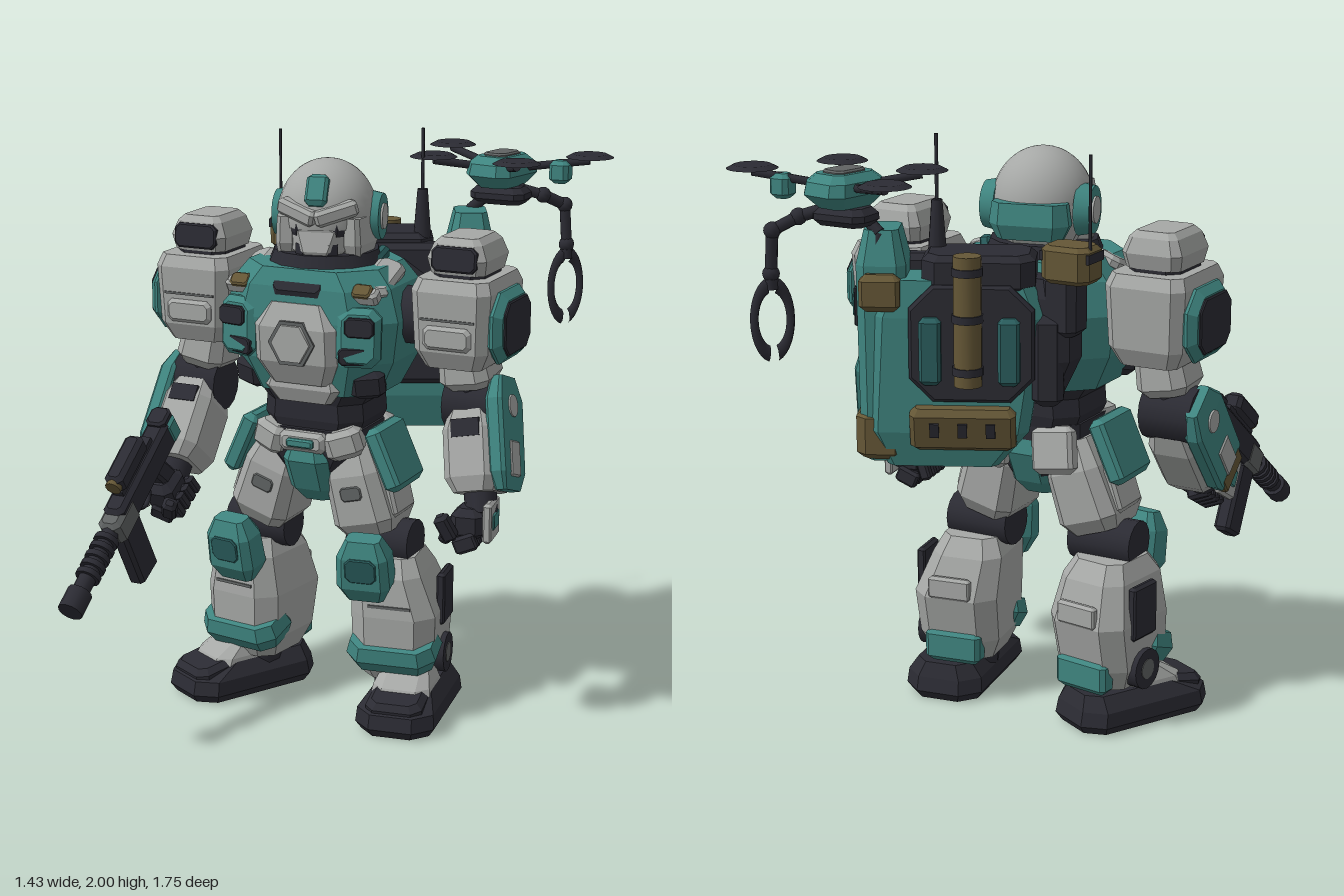
import * as THREE from 'three';

const mat = (name, color) => Object.assign(new THREE.MeshStandardMaterial({ color }), { name });
const grey = mat('armour grey', 0xa6a8a6), shade = mat('seam grey', 0x606363), teal = mat('teal', 0x3f8580),
  deep = mat('deep teal', 0x2a5e5e), black = mat('black', 0x2b2b33), olive = mat('olive', 0x655736);
const V = (a) => new THREE.Vector3(...a);

// Faceted solid from chamfered-rectangle sections [y, width, depth, x, z], listed upward
function loft(sections, chamfer = 0.4) {
  const rings = sections.map(([y, w, d, x = 0, z = 0]) => {
    const a = w / 2, b = d / 2, c = chamfer * Math.min(a, b);
    return [[a, b - c], [a, c - b], [a - c, -b], [c - a, -b], [-a, c - b], [-a, b - c], [c - a, b], [a - c, b]]
      .map(([px, pz]) => [px + x, y, pz + z]);
  });
  const out = [], tri = (...p) => p.forEach((q) => out.push(...q));
  const top = rings[rings.length - 1], bottom = rings[0];
  for (let i = 0; i < 8; i++) {
    const j = (i + 1) % 8;
    for (let k = 0; k < rings.length - 1; k++) {
      const lo = rings[k], hi = rings[k + 1];
      tri(lo[i], lo[j], hi[j]);
      tri(lo[i], hi[j], hi[i]);
    }
    if (i > 0 && i < 7) { tri(top[0], top[i], top[j]); tri(bottom[0], bottom[j], bottom[i]); }
  }
  const g = new THREE.BufferGeometry();
  g.setAttribute('position', new THREE.Float32BufferAttribute(out, 3));
  g.computeVertexNormals();
  return g;
}
const block = (w, h, d, b = 0.02, chamfer = 0.4) => loft([[-h / 2, w - 2 * b, d - 2 * b], [b - h / 2, w, d],
  [h / 2 - b, w, d], [h / 2, w - 2 * b, d - 2 * b]], chamfer);
const cyl = (r, h, n = 16, r2 = r) => new THREE.CylinderGeometry(r2, r, h, n);
const box = (w, h, d) => new THREE.BoxGeometry(w, h, d);

function place(parent, obj, name, p = [0, 0, 0], r = [0, 0, 0]) {
  obj.name = name;
  obj.position.set(...p);
  obj.rotation.set(...r);
  parent.add(obj);
  return obj;
}
const part = (parent, name, m, geo, p, r) => place(parent, new THREE.Mesh(geo, m), name, p, r);
const group = (parent, name, p, r) => place(parent, new THREE.Group(), name, p, r);
// Group whose y axis runs from the low point to the high point
function bone(parent, name, low, high) {
  const g = group(parent, name, low), d = V(high).sub(V(low));
  g.userData.length = d.length();
  g.quaternion.setFromUnitVectors(new THREE.Vector3(0, 1, 0), d.normalize());
  return g;
}
function rod(parent, name, m, a, b, r, n = 10) {
  const g = bone(parent, name, a, b), l = g.userData.length;
  part(g, name, m, cyl(r, l, n), [0, l / 2, 0]);
}
const Q = Math.PI / 2;

function buildTorso(t) {
  part(t, 'waist', black, loft([[0.98, 0.3, 0.28], [1.06, 0.37, 0.32], [1.12, 0.36, 0.32], [1.22, 0.5, 0.38]]), [0, 0, -0.08]);
  part(t, 'chest', teal, loft([[1.16, 0.48, 0.36], [1.28, 0.6, 0.45], [1.42, 0.64, 0.48], [1.53, 0.58, 0.46], [1.59, 0.48, 0.42]], 0.5), [0, 0, -0.08]);
  part(t, 'backFrame', black, loft([[1.15, 0.36, 0.1], [1.3, 0.5, 0.14], [1.5, 0.5, 0.14], [1.56, 0.36, 0.1]]), [0, 0, -0.33]);
  part(t, 'collar', black, cyl(0.2, 0.05, 14, 0.18), [0, 1.605, -0.08]);
  part(t, 'throat', black, block(0.2, 0.05, 0.1, 0.015), [0, 1.54, 0.12], [1.1, 0, 0]);
  part(t, 'breastplate', grey, loft([[1.2, 0.22, 0.1, 0, 0.09], [1.28, 0.3, 0.12, 0, 0.12], [1.4, 0.3, 0.12, 0, 0.13], [1.48, 0.22, 0.1, 0, 0.11]], 0.5));
  part(t, 'chestFrame', shade, cyl(0.085, 0.03, 6), [0, 1.35, 0.18], [Q, Q, 0]);
  part(t, 'chestPlate', grey, cyl(0.077, 0.03, 6, 0.07), [0, 1.35, 0.188], [Q, Q, 0]);
  part(t, 'abdomenPlate', grey, loft([[1.13, 0.2, 0.08], [1.18, 0.28, 0.12], [1.24, 0.24, 0.1]]), [0, 0, 0.07]);
  for (const s of [-1, 1]) {
    part(t, 'axle', black, cyl(0.1, 0.14, 12), [s * 0.33, 1.42, -0.1], [0, 0, Q]);
    part(t, 'collarPlate', grey, block(0.1, 0.05, 0.2, 0.015), [s * 0.235, 1.55, -0.02], [0.35, 0, -s * 0.35]);
    part(t, 'collarStrap', deep, block(0.04, 0.05, 0.26, 0.012), [s * 0.17, 1.575, -0.06], [0.3, 0, -s * 0.2]);
    part(t, 'chestLampFrame', grey, block(0.11, 0.05, 0.05, 0.01), [s * 0.225, 1.515, 0.105], [0.5, 0, 0]);
    part(t, 'chestLamp', olive, block(0.07, 0.03, 0.05, 0.006), [s * 0.225, 1.53, 0.115], [0.8, 0, 0]);
    part(t, 'sidePanel', teal, block(0.15, 0.06, 0.2, 0.02), [s * 0.22, 1.38, 0.13], [Q - 0.05, 0, -s * 0.25]);
    part(t, 'upperVent', black, block(0.1, 0.02, 0.065, 0.004), [s * 0.235, 1.42, 0.162], [Q, 0, -s * 0.15]);
    part(t, 'lowerVent', black, block(0.1, 0.02, 0.06, 0.004), [s * 0.21, 1.32, 0.155], [Q + 0.1, 0, -s * 0.3]);
    part(t, 'lowerRib', black, block(0.12, 0.1, 0.1, 0.02), [s * 0.21, 1.21, 0.04], [0.25, s * 0.4, 0]);
    part(t, 'hipSkirt', teal, block(0.06, 0.23, 0.22, 0.02), [s * 0.27, 0.94, -0.05], [0, 0, s * 0.42]);
    part(t, 'beltPouch', grey, block(0.13, 0.1, 0.12, 0.02), [s * 0.13, 0.99, 0.05], [0, s * 0.3, s * 0.3]);
    part(t, 'rearSkirt', grey, block(0.15, 0.16, 0.06, 0.02), [s * 0.12, 0.95, -0.23], [0.2, 0, s * 0.15]);
  }
  part(t, 'pelvis', black, loft([[0.84, 0.18, 0.26], [0.95, 0.36, 0.32], [1.03, 0.36, 0.32]]), [0, 0, -0.07]);
  part(t, 'crotchGuard', teal, loft([[0.76, 0.1, 0.16], [0.81, 0.16, 0.26], [0.92, 0.17, 0.36], [0.97, 0.13, 0.34]]), [0, 0, -0.06]);
  part(t, 'buckle', grey, block(0.17, 0.05, 0.07, 0.015), [0, 0.99, 0.1], [Q, 0, 0]);
  part(t, 'buckleInlay', teal, block(0.1, 0.02, 0.03, 0.006), [0, 0.99, 0.13], [Q, 0, 0]);
}

function buildHead(t) {
  const h = group(t, 'head', [0, 1.74, -0.09], [0, 0.2, 0]);
  part(h, 'neck', black, cyl(0.1, 0.16, 12), [0, -0.14, 0]);
  part(h, 'dome', grey, new THREE.SphereGeometry(0.168, 28, 14, 0, Math.PI * 2, 0, 1.75).scale(1, 1.1, 1.02), [0, 0.005, 0]);
  part(h, 'helmetBack', grey, loft([[-0.11, 0.24, 0.2], [-0.03, 0.32, 0.28], [0.02, 0.31, 0.28]], 0.6), [0, 0, -0.03]);
  part(h, 'rearBand', teal, loft([[-0.09, 0.22, 0.08], [-0.04, 0.27, 0.12], [0.03, 0.25, 0.1]], 0.7), [0, 0, -0.14]);
  part(h, 'face', black, loft([[-0.13, 0.2, 0.2], [-0.04, 0.26, 0.24], [0.03, 0.26, 0.24]], 0.5), [0, 0, 0.035]);
  part(h, 'mask', grey, loft([[-0.15, 0.1, 0.1], [-0.1, 0.18, 0.14], [-0.035, 0.2, 0.11], [-0.005, 0.05, 0.08, 0, 0.02]], 0.7), [0, 0, 0.105]);
  for (const s of [-1, 1]) {
    part(h, 'mouthVent', black, box(0.035, 0.04, 0.012), [s * 0.055, -0.095, 0.155], [0, s * 0.6, 0]);
    part(h, 'brow', grey, block(0.15, 0.055, 0.05, 0.012), [s * 0.065, 0.03, 0.148], [0.1, s * 0.4, s * 0.25]);
    part(h, 'cheek', grey, loft([[-0.13, 0.05, 0.12], [-0.08, 0.07, 0.16], [0.01, 0.06, 0.16]]), [s * 0.125, 0, 0.06], [0, -s * 0.2, 0]);
    part(h, 'earDisc', teal, cyl(0.088, 0.05, 20, 0.078), [s * 0.16, -0.005, -0.03], [0, 0, -s * Q]);
    part(h, 'earHub', grey, cyl(0.045, 0.02, 16), [s * 0.182, -0.005, -0.03], [0, 0, Q]);
  }
  part(h, 'crest', teal, block(0.075, 0.11, 0.05, 0.015), [0, 0.1, 0.138], [-0.5, 0, 0]);
}

function buildHand(g, s, p, r) {
  const h = group(g, 'hand', p, r);
  part(h, 'palm', black, block(0.11, 0.11, 0.13, 0.025), [0, 0, 0]);
  part(h, 'handGuard', grey, block(0.03, 0.14, 0.13, 0.01), [s * 0.07, 0.01, -0.01]);
  part(h, 'guardInlay', teal, block(0.02, 0.06, 0.08, 0.006), [s * 0.08, 0.01, -0.01]);
  for (let i = 0; i < 4; i++) {
    part(h, 'knuckle', black, block(0.08, 0.06, 0.035, 0.01), [0, -0.06, -0.06 + i * 0.04], [0, 0, s * 0.4]);
    part(h, 'fingertip', black, block(0.04, 0.07, 0.035, 0.01), [-s * 0.065, -0.03, -0.06 + i * 0.04], [0, 0, -s * 0.3]);
  }
  part(h, 'thumb', black, block(0.05, 0.1, 0.045, 0.012), [-s * 0.06, 0, 0.09], [0.3, 0, s * 0.4]);
}

function buildArm(root, s, x, elbow, wrist, hand, handTurn) {
  const g = group(root, s > 0 ? 'leftArm' : 'rightArm');
  const sh = group(g, 'shoulder', [x, 1.43, -0.11]);
  part(sh, 'shoulderArmour', grey, loft([[-0.15, 0.2, 0.28], [-0.09, 0.26, 0.34], [0.11, 0.28, 0.36], [0.15, 0.25, 0.32]], 0.25));
  part(sh, 'shoulderSeam', shade, box(0.19, 0.008, 0.008), [0, 0.02, 0.176]);
  part(sh, 'frontPanel', grey, block(0.17, 0.03, 0.08, 0.012), [0, -0.04, 0.172], [Q, 0, 0]);
  part(sh, 'padBase', black, block(0.18, 0.04, 0.22, 0.01), [0, 0.155, 0]);
  part(sh, 'pad', grey, loft([[0.16, 0.19, 0.22], [0.21, 0.21, 0.25], [0.26, 0.17, 0.22], [0.28, 0.13, 0.18]], 0.25));
  part(sh, 'padWindow', black, block(0.16, 0.03, 0.085, 0.006), [0, 0.213, 0.115], [Q - 0.1, 0, 0]);
  part(sh, 'sidePlate', teal, block(0.24, 0.06, 0.3, 0.025, 0.55), [s * 0.145, -0.01, 0], [0, 0, -s * Q]);
  part(sh, 'sideGrille', black, block(0.18, 0.02, 0.23, 0.004, 0.4), [s * 0.173, -0.01, 0], [0, 0, -s * Q]);
  const up = bone(g, 'upperArm', elbow, [x, 1.32, -0.11]), u = up.userData.length;
  part(up, 'upperArmCore', black, cyl(0.07, u, 10), [0, u / 2, 0]);
  part(up, 'upperArmArmour', grey, loft([[0.07, 0.14, 0.15], [0.1, 0.18, 0.2], [u, 0.16, 0.18]]));
  part(g, 'elbow', black, cyl(0.095, 0.18, 14), elbow, [0, 0, Q]);
  const f = bone(g, 'forearm', wrist, elbow), l = f.userData.length;
  part(f, 'wrist', black, cyl(0.055, 0.1, 10), [0, -0.02, 0]);
  part(f, 'forearmArmour', grey, loft([[0, 0.14, 0.18], [0.05, 0.19, 0.22], [l * 0.7, 0.19, 0.22], [l, 0.13, 0.16]], 0.35));
  part(f, 'outerPlate', teal, loft([[0, 0.04, 0.14], [0.06, 0.06, 0.2], [l, 0.06, 0.21], [l + 0.08, 0.04, 0.13]]), [s * 0.1, 0, 0]);
  part(f, 'plateInlay', grey, block(0.02, l * 0.4, 0.08, 0.006), [s * 0.125, l * 0.35, 0]);
  part(f, 'elbowDisc', grey, cyl(0.038, 0.03, 14), [s * 0.12, l - 0.02, 0], [0, 0, Q]);
  part(f, 'forearmVent', black, box(0.1, 0.06, 0.012), [0, l * 0.7, 0.108]);
  if (s < 0) part(f, 'wristStrap', olive, block(0.03, 0.07, 0.15, 0.008), [-0.115, 0.03, 0]);
  buildHand(g, s, hand, handTurn);
}

function buildLeg(t, s, footTurn, kneeShift) {
  const g = group(t, s > 0 ? 'leftLeg' : 'rightLeg');
  const th = bone(g, 'thigh', [s * 0.24 + kneeShift / 2, 0.62, -0.07], [s * 0.12, 0.98, -0.07]);
  part(th, 'thighArmour', grey, loft([[0.04, 0.17, 0.2], [0.09, 0.22, 0.27], [0.26, 0.2, 0.28], [0.36, 0.15, 0.22]], 0.35));
  part(th, 'thighPanel', shade, block(0.08, 0.012, 0.05, 0.004), [0, 0.2, 0.137], [Q, 0, 0]);
  part(th, 'thighPlate', grey, block(0.05, 0.17, 0.16, 0.015), [s * 0.1, 0.17, 0]);
  part(g, 'knee', black, cyl(0.08, 0.23, 16), [s * 0.25 + kneeShift / 2, 0.62, -0.09], [0, 0, Q]);
  const sh = group(g, 'shin', [s * 0.275, 0, -0.11], [0, s * 0.15, 0]);
  part(sh, 'shinArmour', grey, loft([[0.14, 0.22, 0.24], [0.22, 0.29, 0.33], [0.38, 0.3, 0.37, 0, -0.015], [0.52, 0.25, 0.31, kneeShift / 2], [0.58, 0.19, 0.22, kneeShift / 2]], 0.4));
  part(sh, 'kneePad', teal, loft([[-0.11, 0.13, 0.07], [-0.05, 0.19, 0.13], [0.06, 0.18, 0.12], [0.12, 0.12, 0.07]]), [kneeShift - s * 0.02, 0.56, 0.18], [0.2, 0, 0]);
  part(sh, 'kneePanel', deep, block(0.11, 0.012, 0.09, 0.004), [kneeShift - s * 0.02, 0.57, 0.245], [Q + 0.2, 0, 0]);
  part(sh, 'shinSeam', shade, box(0.15, 0.01, 0.012), [0, 0.42, 0.165]);
  part(sh, 'calfVent', black, block(0.03, 0.19, 0.13, 0.01), [s * 0.148, 0.42, -0.03]);
  part(sh, 'calfPanel', grey, block(0.15, 0.08, 0.03, 0.01), [0, 0.42, -0.195]);
  part(sh, 'ankleCuff', teal, loft([[-0.05, 0.28, 0.16], [0, 0.32, 0.2], [0.05, 0.29, 0.17]], 0.5), [0, 0.25, 0.09], [0.35, 0, 0]);
  part(sh, 'heelGuard', teal, block(0.2, 0.12, 0.07, 0.02), [0, 0.2, -0.15]);
  part(sh, 'ankleJoint', black, cyl(0.09, 0.2, 12), [0, 0.16, 0.02]);
  part(sh, 'ankleDisc', black, cyl(0.07, 0.06, 16), [s * 0.135, 0.21, -0.02], [0, 0, Q]);
  part(sh, 'ankleHub', shade, cyl(0.035, 0.065, 12), [s * 0.135, 0.21, -0.02], [0, 0, Q]);
  const f = group(g, 'foot', [s * 0.33, 0, -0.06], [0, footTurn, 0]);
  part(f, 'sole', black, loft([[0, 0.24, 0.48], [0.03, 0.28, 0.52], [0.08, 0.27, 0.5], [0.13, 0.2, 0.36, 0, -0.05]], 0.45));
  part(f, 'toeCap', black, block(0.2, 0.08, 0.16, 0.02), [0, 0.09, 0.16], [0.2, 0, 0]);
  part(f, 'instep', grey, loft([[0.08, 0.22, 0.28], [0.14, 0.2, 0.22], [0.2, 0.15, 0.1, 0, -0.04]]), [0, 0, 0.04]);
}

function buildRifle(root) {
  const g = group(root, 'rifle', [-0.55, 0.88, 0.4], [0.63, 0, 0]);
  part(g, 'receiver', black, block(0.08, 0.11, 0.42, 0.015), [0, 0, -0.02]);
  part(g, 'handguard', shade, block(0.085, 0.1, 0.14, 0.015), [0, -0.01, 0.17]);
  part(g, 'barrel', black, cyl(0.03, 0.34, 12), [0, 0, 0.38], [Q, 0, 0]);
  for (let i = 0; i < 5; i++) part(g, 'barrelRing', black, cyl(0.043, 0.02, 12), [0, 0, 0.27 + i * 0.036], [Q, 0, 0]);
  part(g, 'muzzle', black, cyl(0.043, 0.08, 12), [0, 0, 0.52], [Q, 0, 0]);
  part(g, 'scopeRail', black, box(0.04, 0.03, 0.24), [0, 0.06, 0]);
  part(g, 'scope', black, block(0.07, 0.07, 0.2, 0.015), [0, 0.105, 0.02]);
  part(g, 'scopeLens', olive, cyl(0.028, 0.02, 12), [0, 0.105, 0.12], [Q, 0, 0]);
  part(g, 'magazine', black, block(0.06, 0.25, 0.12, 0.012), [0, -0.17, 0.17], [-0.12, 0, 0]);
  part(g, 'grip', black, block(0.055, 0.17, 0.07, 0.012), [0, -0.11, -0.11], [0.3, 0, 0]);
  part(g, 'triggerGuard', black, new THREE.TorusGeometry(0.04, 0.008, 6, 14).rotateY(Q), [0, -0.075, 0.02]);
  part(g, 'stock', teal, block(0.09, 0.1, 0.07, 0.015), [0, 0.0, -0.22]);
  part(g, 'stockCap', black, block(0.075, 0.03, 0.08, 0.008), [0, 0.055, -0.22]);
}

function buildBackpack(root) {
  const g = group(root, 'backpack', [0.03, 0, -0.44], [0, 0.45, 0]);
  part(g, 'packBody', teal, loft([[0.94, 0.36, 0.14, 0.06], [1.06, 0.52, 0.2, 0.04], [1.44, 0.56, 0.22], [1.56, 0.46, 0.2]], 0.35));
  part(g, 'packFrame', black, block(0.5, 0.5, 0.08, 0.02), [0.02, 1.36, 0.1]);
  part(g, 'packTop', black, block(0.36, 0.12, 0.22, 0.02), [-0.06, 1.58, 0]);
  part(g, 'sideTower', teal, loft([[0.95, 0.11, 0.14], [1.05, 0.15, 0.2], [1.6, 0.16, 0.21], [1.71, 0.11, 0.15]], 0.35), [0.25, 0, 0.02]);
  part(g, 'towerPanel', black, block(0.02, 0.13, 0.13, 0.006), [0.33, 1.46, 0.02]);
  part(g, 'towerHatch', deep, block(0.02, 0.08, 0.07, 0.006), [0.338, 1.46, 0.02]);
  part(g, 'towerSlot', black, box(0.02, 0.24, 0.03), [0.322, 1.24, 0.02]);
  part(g, 'towerPouch', olive, block(0.16, 0.16, 0.23, 0.02), [0.26, 1.04, 0.03]);
  part(g, 'pouch', olive, block(0.13, 0.12, 0.06, 0.02), [0.25, 1.52, -0.1]);
  part(g, 'rearRecess', black, block(0.4, 0.03, 0.38, 0.01), [-0.04, 1.36, -0.11], [Q, 0, 0]);
  part(g, 'canister', olive, cyl(0.045, 0.42, 14), [-0.03, 1.44, -0.135]);
  for (const y of [1.28, 1.45, 1.6]) part(g, 'canisterBand', black, cyl(0.05, 0.025, 14), [-0.03, y, -0.135]);
  for (const x of [-0.16, 0.09]) part(g, 'rearTank', deep, block(0.07, 0.22, 0.05, 0.015), [x, 1.34, -0.13]);
  part(g, 'lowerPouch', olive, block(0.34, 0.15, 0.08, 0.02), [-0.01, 1.08, -0.09], [-0.25, 0, 0]);
  for (const x of [-0.1, -0.01, 0.08]) part(g, 'pouchClasp', black, box(0.03, 0.05, 0.02), [x, 1.08, -0.128], [-0.25, 0, 0]);
  part(g, 'sidePod', black, block(0.1, 0.3, 0.18, 0.025), [-0.28, 1.3, -0.02]);
  part(root, 'ammoBox', olive, block(0.17, 0.12, 0.14, 0.015), [-0.325, 1.62, -0.36]);
  part(root, 'ammoBoxLid', black, box(0.174, 0.03, 0.1), [-0.325, 1.645, -0.36]);
  part(root, 'ammoBoxMount', black, block(0.12, 0.2, 0.12, 0.02), [-0.29, 1.48, -0.34]);
  rod(root, 'antenna', black, [-0.4, 1.66, -0.38], [-0.4, 1.97, -0.38], 0.005, 6);
  part(root, 'antennaBase', black, cyl(0.035, 0.22, 10, 0.018), [0.13, 1.68, -0.42]);
  rod(root, 'antenna', black, [0.13, 1.75, -0.42], [0.13, 2, -0.42], 0.006, 6);
}

function buildDrone(root) {
  const g = group(root, 'drone', [0.34, 1.84, -0.63]);
  part(g, 'droneBody', teal, loft([[-0.055, 0.11, 0.16], [-0.01, 0.18, 0.25], [0.03, 0.17, 0.23], [0.055, 0.12, 0.17]]), [0, 0, 0], [0, -0.2, 0]);
  part(g, 'droneCover', shade, block(0.09, 0.02, 0.13, 0.006), [0, 0.055, 0], [0, -0.2, 0]);
  part(g, 'droneBelly', black, block(0.2, 0.06, 0.14, 0.02), [0, -0.085, 0]);
  part(g, 'sensorPod', teal, block(0.07, 0.08, 0.07, 0.015), [0.2, 0, -0.05]);
  for (const [x, z] of [[-0.25, -0.155], [0.295, -0.08], [0.12, 0.17], [-0.2, 0.14]]) {
    rod(g, 'rotorArm', black, [x * 0.2, 0.01, z * 0.2], [x, 0.04, z], 0.014, 8);
    part(g, 'rotor', black, cyl(0.083, 0.012, 28, 0.06), [x, 0.058, z]);
  }
  // Folding arms and the grabbing claw
  const path = [[0.04, -0.06, -0.02], [0.13, -0.09, -0.07], [0.19, -0.13, -0.13], [0.2, -0.27, -0.13]];
  for (let i = 0; i < 3; i++) {
    rod(g, 'clawArm', black, path[i], path[i + 1], 0.02, 8);
    part(g, 'clawJoint', black, new THREE.SphereGeometry(0.028, 10, 8), path[i + 1]);
  }
  rod(g, 'landingLeg', black, [-0.02, -0.07, 0.04], [-0.1, -0.14, 0.04], 0.02, 8);
  rod(g, 'landingLeg', black, [-0.1, -0.14, 0.04], [-0.08, -0.26, 0.01], 0.018, 8);
  const claw = group(g, 'claw', [0.2, -0.42, -0.13], [0, 0.9, 0]);
  part(claw, 'clawWrist', black, cyl(0.022, 0.06, 10), [0, 0.13, 0]);
  for (const s of [-1, 1]) {
    const arc = new THREE.TorusGeometry(0.06, 0.014, 6, 14, 2.7).rotateZ(-1.35).scale(1, 1.9, 1);
    part(claw, 'pincer', black, arc, [0, 0, 0], [0, s > 0 ? 0 : Math.PI, 0]);
  }
}

export function createModel() {
  const root = new THREE.Group();
  root.name = 'mech';
  const body = group(root, 'body', [-0.075, 0, 0]);
  buildTorso(body);
  buildHead(body);
  buildLeg(body, -1, -0.5, 0);
  buildLeg(body, 1, 0.15, -0.06);
  buildArm(root, 1, 0.43, [0.46, 1.13, -0.13], [0.52, 0.85, -0.03], [0.5, 0.76, 0.01], [0, 0.15, 0]);
  buildArm(root, -1, -0.53, [-0.57, 1.1, -0.1], [-0.57, 0.85, 0.1], [-0.555, 0.79, 0.21], [0.5, 0, 0]);
  buildRifle(root);
  buildBackpack(root);
  buildDrone(root);
  return root;
}
